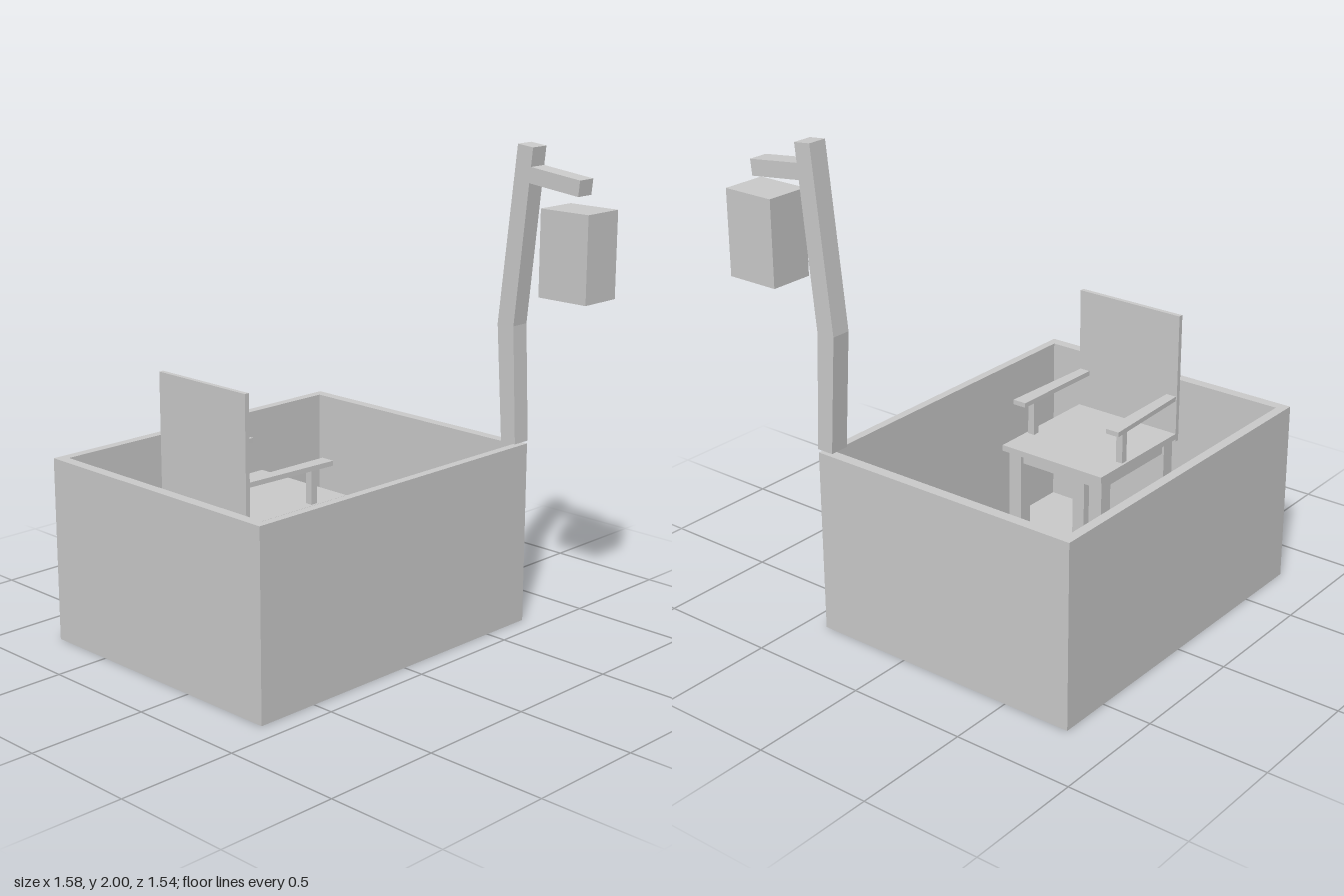
import * as THREE from 'three';

const material = new THREE.MeshStandardMaterial({ color: 0xcccccc, flatShading: true });

function add(parent, name, geometry) {
  const mesh = new THREE.Mesh(geometry, material);
  mesh.name = name;
  parent.add(mesh);
  return mesh;
}

// Box given by its limits on each axis
function block(parent, name, [x0, x1], [y0, y1], [z0, z1]) {
  const mesh = add(parent, name, new THREE.BoxGeometry(x1 - x0, y1 - y0, z1 - z0));
  mesh.position.set((x0 + x1) / 2, (y0 + y1) / 2, (z0 + z1) / 2);
  return mesh;
}

function outline(points) {
  return new THREE.Shape(points.map(([x, y]) => new THREE.Vector2(x, y)));
}

function prism(points, depth) {
  return new THREE.ExtrudeGeometry(outline(points), { depth, bevelEnabled: false });
}

function rectangle(x0, x1, y0, y1) {
  return [[x0, y0], [x1, y0], [x1, y1], [x0, y1]];
}

function createTub() {
  const tub = new THREE.Group();
  tub.name = 'openBox';
  // Wall ring, extruded upwards (shape y becomes -z)
  const ring = outline(rectangle(-0.79, 0.41, -0.77, 0.725));
  ring.holes.push(outline(rectangle(-0.75, 0.375, -0.725, 0.68)));
  const walls = new THREE.ExtrudeGeometry(ring, { depth: 0.77, bevelEnabled: false });
  walls.rotateX(-Math.PI / 2);
  add(tub, 'walls', walls);
  block(tub, 'floor', [-0.75, 0.375], [0, 0.045], [-0.68, 0.725]);
  return tub;
}

// Armchair facing -z, built about its own centre line
function createChair() {
  const chair = new THREE.Group();
  chair.name = 'armchair';
  block(chair, 'seat', [-0.245, 0.245], [0.61, 0.635], [-0.01, 0.51]);
  block(chair, 'backrest', [-0.245, 0.245], [0.6, 1.15], [0.51, 0.53]);
  block(chair, 'frontApron', [-0.17, 0.17], [0.56, 0.61], [0.03, 0.06]);
  block(chair, 'backApron', [-0.17, 0.17], [0.56, 0.61], [0.47, 0.5]);

  for (const side of [-1, 1]) {
    const span = (a, b) => [side * a, side * b].sort((p, q) => p - q);
    block(chair, 'frontLeg', span(0.17, 0.23), [0.045, 0.61], [0.015, 0.075]);
    block(chair, 'backLeg', span(0.17, 0.23), [0.045, 0.61], [0.45, 0.51]);
    block(chair, 'sideApron', span(0.19, 0.22), [0.56, 0.61], [0.075, 0.45]);
    block(chair, 'armPost', span(0.205, 0.235), [0.635, 0.78], [0.145, 0.175]);

    // Armrest widening towards the front
    const arm = prism([[side * 0.2, -0.08], [side * 0.26, -0.08],
      [side * 0.24, -0.51], [side * 0.195, -0.51]], 0.02);
    arm.rotateX(-Math.PI / 2);
    add(chair, 'armrest', arm).position.y = 0.78;
  }
  chair.position.x = -0.167;
  return chair;
}

function createLampPost() {
  const lamp = new THREE.Group();
  lamp.name = 'lampPost';
  // Bent post and its slightly drooping arm
  const post = add(lamp, 'post', prism([[0.34, 0.783], [0.413, 0.783], [0.39, 1.27],
    [0.466, 1.992], [0.39, 2], [0.308, 1.27]], 0.082));
  const arm = add(lamp, 'arm', prism([[0.445, 1.852], [0.692, 1.823],
    [0.699, 1.887], [0.452, 1.916]], 0.082));
  post.position.z = arm.position.z = -0.725;
  block(lamp, 'lantern', [0.555, 0.785], [1.42, 1.77], [-0.775, -0.59]);
  return lamp;
}

export function createModel() {
  const model = new THREE.Group();
  model.name = 'boxWithChairAndLamp';
  model.add(createTub(), createChair(), createLampPost());
  return model;
}
